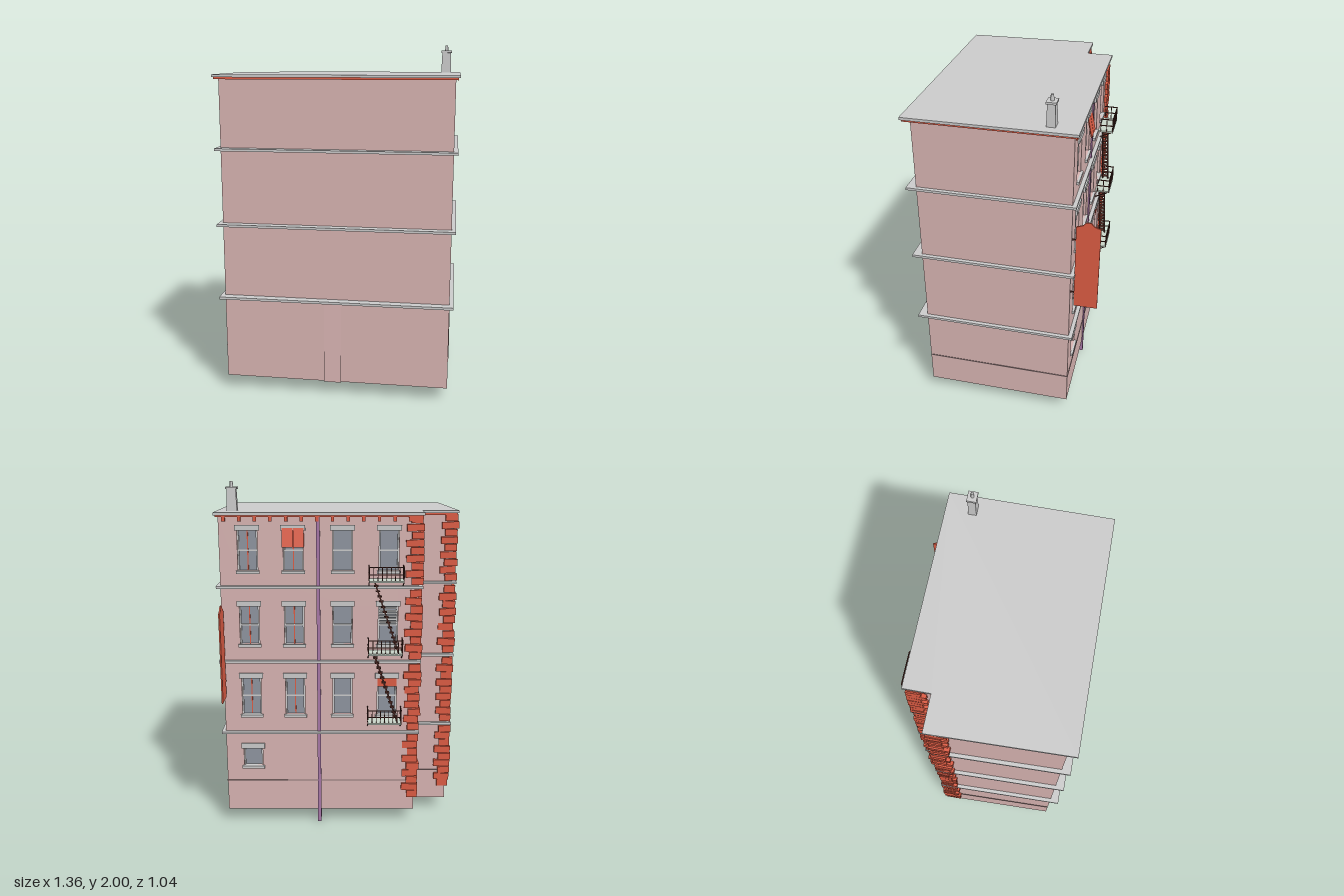
import * as THREE from 'three';

const mat = (color, extra = {}) => new THREE.MeshStandardMaterial({ color, ...extra });
const WALL = mat(0xd8b4b2), GREY = mat(0xcccccc), RED = mat(0xdd5c44), PURPLE = mat(0xa878a8);
const GLASS = mat(0x8f95a0), IRON = mat(0x5a3029), DECK = mat(0xc8d4c8), DARK = mat(0x8a7474);

function add(parent, name, geo, material) {
  const m = new THREE.Mesh(geo, material);
  m.name = name;
  parent.add(m);
  return m;
}

// Box given by its minimum and maximum on each axis
function box(parent, name, material, x0, x1, y0, y1, z0, z1) {
  const m = add(parent, name, new THREE.BoxGeometry(x1 - x0, y1 - y0, z1 - z0), material);
  m.position.set((x0 + x1) / 2, (y0 + y1) / 2, (z0 + z1) / 2);
  return m;
}

// Bar of square section between two points
function bar(parent, name, material, a, b, t) {
  const p = new THREE.Vector3(...a), q = new THREE.Vector3(...b);
  const m = add(parent, name, new THREE.BoxGeometry(t, t, p.distanceTo(q)), material);
  m.position.copy(p).add(q).multiplyScalar(0.5);
  m.lookAt(q);
  return m;
}

// Horizontal slab from the stepped plan; o moves the sides and back out, front sets its front z
function slab(parent, name, material, y, h, o, front, back = -0.37 - o) {
  const pts = [[-0.63 - o, front], [0.66 + o, front], [0.66 + o, back],
    [-0.445 - o, back], [-0.445 - o, -0.22 - o], [-0.652 - o, -0.22 - o]];
  const shape = new THREE.Shape(pts.map(([x, z]) => new THREE.Vector2(x, -z)));
  const geo = new THREE.ExtrudeGeometry(shape, { depth: h, bevelEnabled: false });
  geo.rotateX(-Math.PI / 2).translate(0, y, 0);
  return add(parent, name, geo, material);
}

const rect = (C, x0, x1, y0, y1) => new C([[x0, y0], [x1, y0], [x1, y1], [x0, y1]]
  .map(p => new THREE.Vector2(...p)));

let seed = 7;
const rnd = () => (seed = (seed * 16807) % 2147483647) / 2147483647;

export function createModel() {
  const g = new THREE.Group();
  g.name = 'townBuilding';

  // Core of the building, bands, cornice and roof
  slab(g, 'body', WALL, 0.08, 1.74, 0, 0.47, -0.345);
  for (const y of [0.565, 0.993, 1.422]) slab(g, 'floorBand', GREY, y, 0.014, 0.022, 0.52);
  slab(g, 'plinthLine', DARK, 0.262, 0.006, 0.003, 0.469);
  slab(g, 'cornice', RED, 1.813, 0.012, 0.014, 0.512);
  slab(g, 'roof', GREY, 1.824, 0.015, 0.023, 0.52);

  // Slight flare at the foot of the front wall
  const flare = new THREE.Shape([[0, 0], [0.012, 0], [0, 0.49]].map(p => new THREE.Vector2(...p)));
  const flareGeo = new THREE.ExtrudeGeometry(flare, { depth: 0.1, bevelEnabled: false });
  flareGeo.rotateY(-Math.PI / 2).scale(1, 1, 1).translate(0.05, 0.08, 0.47);
  add(g, 'frontFlare', flareGeo, WALL);

  // Back wall skin with window openings
  const wins = [];
  [0.504, 0.252, -0.02, -0.276].forEach((x, col) =>
    [0.68, 1.10, 1.52].forEach((y, row) => wins.push({ x, y, h: 0.22, col, row })));
  wins.push({ x: 0.504, y: 0.36, h: 0.11, col: 0, row: -1 });
  const skin = rect(THREE.Shape, -0.445, 0.66, 0.08, 1.82);
  for (const w of wins) skin.holes.push(rect(THREE.Path, w.x - 0.055, w.x + 0.055, w.y, w.y + w.h));
  const skinGeo = new THREE.ExtrudeGeometry(skin, { depth: 0.025, bevelEnabled: false });
  add(g, 'backWall', skinGeo.translate(0, 0, -0.37), WALL);

  // Windows: glass, sash, sill and lintel
  for (const { x, y, h, col, row } of wins) {
    const w = new THREE.Group();
    w.name = 'window';
    g.add(w);
    box(w, 'glass', GLASS, x - 0.055, x + 0.055, y, y + h, -0.348, -0.34);
    for (const s of [-1, 1]) box(w, 'jamb', GREY, x + s * 0.051 - 0.004, x + s * 0.051 + 0.004, y, y + h, -0.356, -0.345);
    box(w, 'sill', GREY, x - 0.065, x + 0.065, y - 0.016, y, -0.383, -0.345);
    box(w, 'lintel', GREY, x - 0.068, x + 0.068, y + h, y + h + 0.03, -0.38, -0.345);
    if (row < 0) continue;
    box(w, 'sashRail', GREY, x - 0.05, x + 0.05, y + h / 2 - 0.004, y + h / 2 + 0.004, -0.355, -0.345);
    if (col < 2) box(w, 'mullion', RED, x - 0.003, x + 0.003, y, y + h, -0.353, -0.345);
    if (col === 3 && row === 0) box(w, 'shade', RED, x - 0.055, x + 0.055, y + h - 0.05, y + h, -0.372, -0.345);
    if (col === 3 && row === 1) {
      for (let i = 0; i < 6; i++) box(w, 'blindSlat', GREY, x - 0.05, x + 0.05, y + 0.12 + i * 0.016, y + 0.13 + i * 0.016, -0.358, -0.345);
    }
  }

  // Sloping awning in two halves over one top window
  for (const s of [-1, 1]) {
    const a = box(g, 'awning', RED, 0.252 + s * 0.031 - 0.029, 0.252 + s * 0.031 + 0.029, 1.65, 1.755, -0.391, -0.386);
    a.rotation.x = 0.2;
  }

  // Small brackets below the cornice
  for (let i = 0; i < 13; i++) {
    const x = 0.63 - i * 0.085;
    box(g, 'corniceBracket', RED, x - 0.009, x + 0.009, 1.79, 1.815, -0.381, -0.365);
  }

  // Rough corner stones, alternately long on the back and on the side
  for (const [cx, cz] of [[-0.652, -0.22], [-0.445, -0.37]]) {
    for (const [y0, y1] of [[0.16, 0.56], [0.585, 0.985], [1.012, 1.415], [1.44, 1.82]]) {
      const n = 9, h = (y1 - y0) / n;
      for (let i = 0; i < n; i++) {
        const long = i % 2, out = 0.008 + rnd() * 0.012;
        const back = (long ? 0.068 : 0.042) + rnd() * 0.01, side = (long ? 0.055 : 0.085) + rnd() * 0.012;
        const y = y0 + i * h;
        const q = box(g, 'cornerStone', RED, cx - out - 0.006, cx + back, y + 0.002, y + h - 0.002, cz - out, cz + side);
        q.rotation.z = (rnd() - 0.5) * 0.12;
        q.rotation.y = (rnd() - 0.5) * 0.06;
      }
    }
  }

  // Drain pipe and its foot under the building
  box(g, 'drainPipe', PURPLE, 0.105, 0.125, 0, 1.82, -0.378, -0.36);
  box(g, 'drainFoot', PURPLE, 0.105, 0.125, 0, 0.085, -0.365, -0.27);

  // Fire escape: platforms with railings and brackets, joined by stairs
  const esc = new THREE.Group();
  esc.name = 'fireEscape';
  g.add(esc);
  const X0 = -0.355, X1 = -0.165, ZB = -0.455;
  for (const y of [0.65, 1.06, 1.47]) {
    box(esc, 'platform', DECK, X0, X1, y - 0.005, y + 0.005, ZB - 0.003, -0.37);
    for (const ry of [y + 0.04, y + 0.08]) {
      bar(esc, 'rail', IRON, [X0, ry, ZB], [X1, ry, ZB], 0.005);
      for (const x of [X0, X1]) bar(esc, 'rail', IRON, [x, ry, ZB], [x, ry, -0.38], 0.005);
    }
    for (let i = 0; i <= 8; i++) {
      const x = X0 + (X1 - X0) * i / 8;
      bar(esc, 'baluster', IRON, [x, y, ZB], [x, y + 0.08, ZB], 0.004);
    }
    for (const x of [X0, X1]) {
      for (const z of [-0.385, -0.42]) bar(esc, 'baluster', IRON, [x, y, z], [x, y + 0.08, z], 0.004);
      bar(esc, 'bracket', IRON, [x, y - 0.005, ZB + 0.01], [x, y - 0.04, -0.37], 0.005);
    }
  }
  for (const y of [0.65, 1.06]) {
    for (const z of [-0.392, -0.425]) bar(esc, 'stringer', IRON, [-0.335, y, z], [-0.195, y + 0.41, z], 0.008);
    for (let i = 1; i < 14; i++) {
      const t = i / 14, x = -0.335 + 0.14 * t, yy = y + 0.41 * t;
      box(esc, 'tread', IRON, x - 0.012, x + 0.012, yy - 0.002, yy + 0.002, -0.425, -0.392);
    }
  }

  // Hanging sign board with a pointed crest, standing out from the back corner
  const board = new THREE.Shape([[0.39, 0.795], [0.52, 0.795], [0.52, 1.305], [0.484, 1.318], [0.468, 1.337],
    [0.442, 1.337], [0.426, 1.318], [0.39, 1.305]].map(p => new THREE.Vector2(...p)));
  const boardGeo = new THREE.ExtrudeGeometry(board, { depth: 0.008, bevelEnabled: false });
  add(g, 'signBoard', boardGeo.rotateY(Math.PI / 2).translate(0.646, 0, 0), RED);
  for (const y of [0.88, 1.22]) box(g, 'signArm', IRON, 0.647, 0.653, y, y + 0.008, -0.4, -0.365);

  // Chimney: tapered stack, cap and pot
  const stack = new THREE.CylinderGeometry(0.036, 0.042, 0.12, 4, 1).rotateY(Math.PI / 4).toNonIndexed();
  stack.computeVertexNormals();
  const s = add(g, 'chimneyStack', stack, GREY);
  s.scale.z = 0.8;
  s.position.set(0.597, 1.899, -0.243);
  box(g, 'chimneyCap', GREY, 0.565, 0.629, 1.957, 1.969, -0.27, -0.217);
  const pot = add(g, 'chimneyPot', new THREE.CylinderGeometry(0.008, 0.01, 0.035, 8), GREY);
  pot.position.set(0.597, 1.983, -0.243);
  return g;
}
